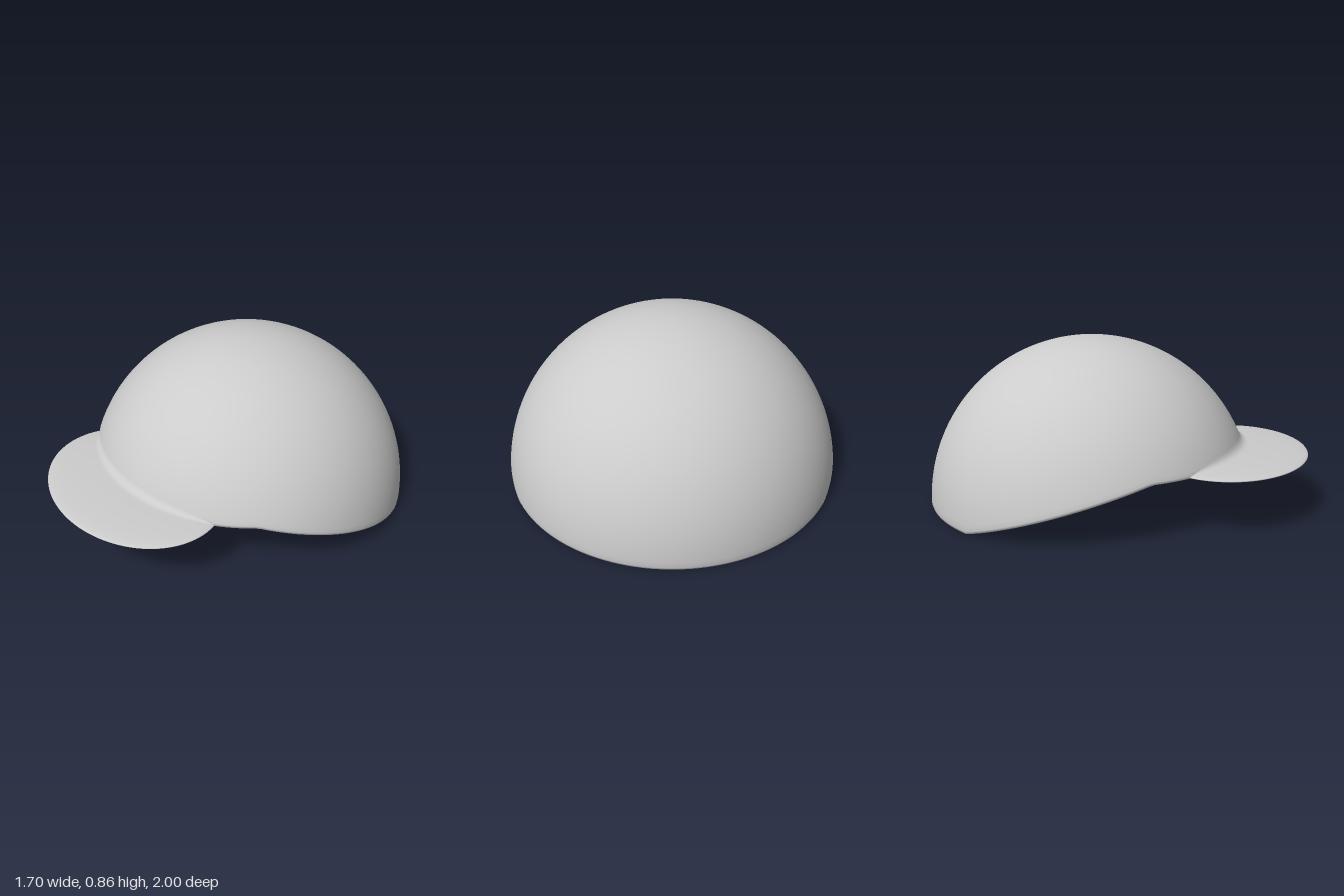
import * as THREE from 'three';
import { mergeVertices } from 'three/addons/utils/BufferGeometryUtils.js';

const R = 0.86, CZ = -0.14;                       // dome radius and centre in z
const BRIM = { x: 0.52, y: 0.026, z: 0.4, cy: 0.292, cz: 0.6 };

// Height of the underside: flat at the back, sloping up, flat at the front
const cut = z => 0.285 * THREE.MathUtils.clamp((z + 0.53) / 0.88, 0, 1);

// Smooth surface from a rule point(row, column)
function grid(rows, cols, point) {
  const pos = [], index = [];
  for (let i = 0; i <= rows; i++)
    for (let j = 0; j <= cols; j++) pos.push(...point(i, j));
  for (let i = 0; i < rows; i++)
    for (let j = 0; j < cols; j++) {
      const a = i * (cols + 1) + j, b = a + cols + 1;
      index.push(a, b, b + 1, a, b + 1, a + 1);
    }
  let g = new THREE.BufferGeometry();
  g.setAttribute('position', new THREE.Float32BufferAttribute(pos, 3));
  g.setIndex(index);
  g = mergeVertices(g, 1e-5);
  g.computeVertexNormals();
  return g;
}

// Elevation at which the dome meets the underside for one direction
function rimAngle(a) {
  let lo = 0, hi = Math.PI / 2;
  for (let k = 0; k < 40; k++) {
    const m = (lo + hi) / 2;
    if (R * Math.sin(m) < cut(CZ + R * Math.cos(m) * Math.cos(a))) lo = m;
    else hi = m;
  }
  return lo;
}

// Dome rows from the crown to a softened rim, then underside rows to the middle
function domeGeometry() {
  const cols = 160, domeRows = 48, underRows = 44;
  const rims = Array.from({ length: cols + 1 }, (_, j) => rimAngle(j / cols * Math.PI * 2));
  return grid(domeRows + 1 + underRows, cols, (i, j) => {
    const a = j / cols * Math.PI * 2, rim = rims[j];
    const at = (r, y) => [r * Math.sin(a), y ?? cut(CZ + r * Math.cos(a)), CZ + r * Math.cos(a)];
    if (i <= domeRows) {
      const p = THREE.MathUtils.lerp(Math.PI / 2, rim + 0.02, i / domeRows);
      return at(R * Math.cos(p), R * Math.sin(p));
    }
    const edge = R * Math.cos(rim);
    if (i === domeRows + 1) return at(edge * 0.994, R * Math.sin(rim) + 0.004);
    return at(edge * 0.98 * (1 - (i - domeRows - 2) / (underRows - 1)));
  });
}

// Soft concave blend where the top of the brim meets the dome
function blendGeometry() {
  const rows = 8, cols = 48, half = 0.67;
  const brimTop = (x, z) => BRIM.cy + BRIM.y *
    Math.sqrt(Math.max(0, 1 - (x / BRIM.x) ** 2 - ((z - BRIM.cz) / BRIM.z) ** 2));
  return grid(rows, cols, (i, j) => {
    const t = j / cols * 2 - 1, a = t * half, v = i / rows;
    const size = 0.03 * Math.sqrt(1 - t * t) + 0.002;
    const ring = y => Math.sqrt(R * R - y * y);
    const r1 = ring(0.31), r2 = r1 + size;
    const y2 = brimTop(r2 * Math.sin(a), CZ + r2 * Math.cos(a));
    const y0 = y2 + size, r0 = ring(y0);
    const mix = (p, q, s) => p * (1 - v) ** 2 + 2 * q * v * (1 - v) + s * v * v;
    const r = mix(r0, r1, r2);
    return [r * Math.sin(a), mix(y0, y2, y2), CZ + r * Math.cos(a)];
  });
}

export function createModel() {
  const group = new THREE.Group();
  group.name = 'cap';
  const material = new THREE.MeshStandardMaterial({ color: 0xcccccc });
  const add = (name, geometry, mat = material) => {
    const mesh = new THREE.Mesh(geometry, mat);
    mesh.name = name;
    group.add(mesh);
    return mesh;
  };

  add('dome', domeGeometry());

  // Brim: a thin flattened ellipsoid
  const brim = new THREE.SphereGeometry(1, 96, 32);
  brim.scale(BRIM.x, BRIM.y, BRIM.z);
  add('brim', brim).position.set(0, BRIM.cy, BRIM.cz);

  const thin = material.clone();
  thin.side = THREE.DoubleSide;
  add('brimBlend', blendGeometry(), thin);
  return group;
}
